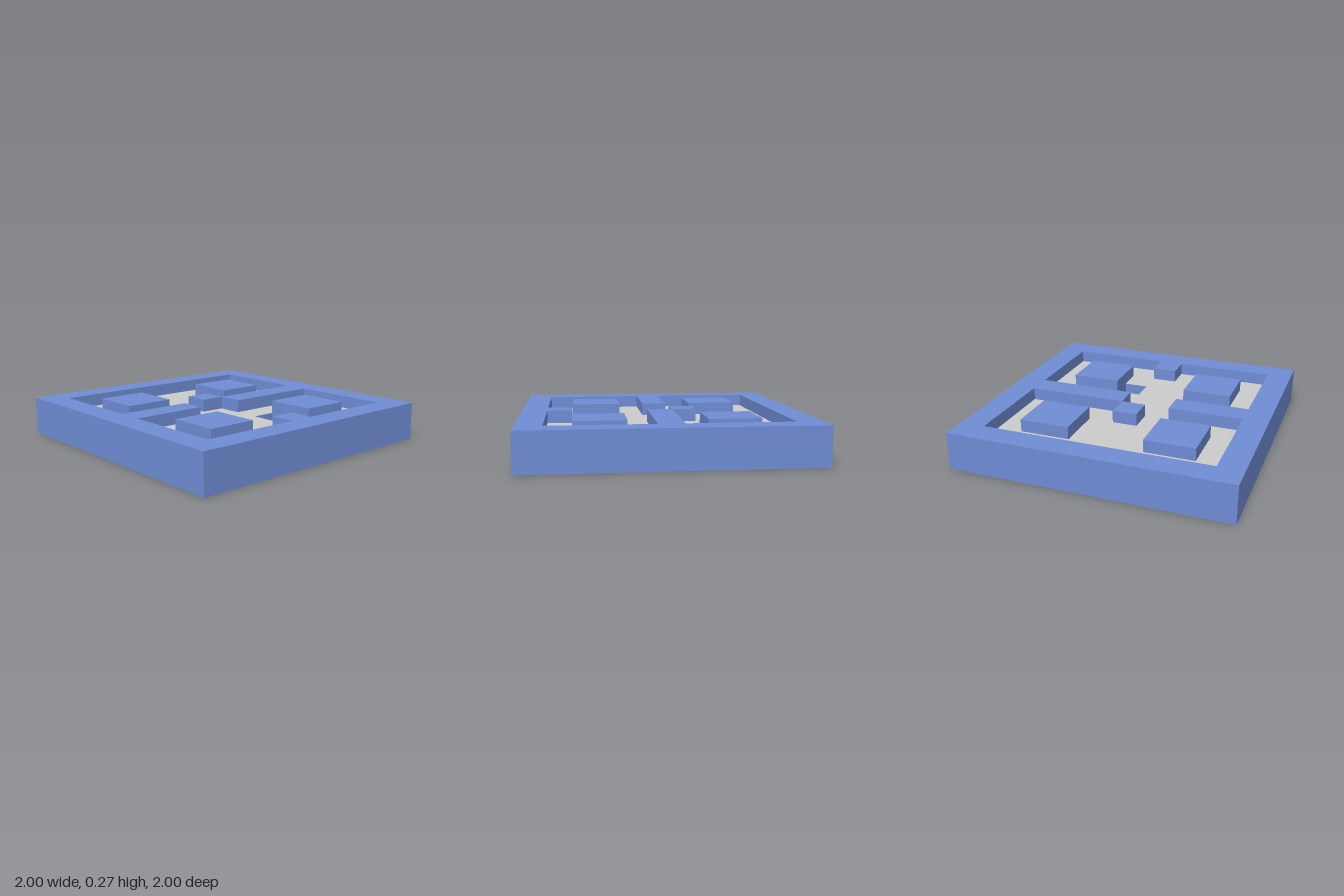
import * as THREE from 'three';

const CELL = 2 / 11;           // the board is an 11 x 11 grid
const BASE = CELL * 0.5;       // pit bottom
const FLOOR = CELL;            // floor level
const TOP = CELL * 1.5;        // wall tops
const SHEET = 0.002;           // thickness of the grey floor sheet

const toPoints = (list) => list.map(([x, z]) => new THREE.Vector2(x * CELL, z * CELL));
const rect = (x0, z0, x1, z1) => [[x0, z0], [x1, z0], [x1, z1], [x0, z1]];

export function createModel() {
  const group = new THREE.Group();
  const blue = new THREE.MeshStandardMaterial({ color: 0x6f8cd4 });
  const grey = new THREE.MeshStandardMaterial({ color: 0xb0b0b0 });
  grey.color.set(0xcccccc);

  // Upright slab with a plan outline (x, z in cells) between two heights
  function slab(name, outline, y0, y1, material, hole) {
    const shape = new THREE.Shape(toPoints(outline));
    if (hole) shape.holes.push(new THREE.Path(toPoints(hole)));
    const geometry = new THREE.ExtrudeGeometry(shape, { depth: y1 - y0, bevelEnabled: false });
    geometry.rotateX(Math.PI / 2);
    const mesh = new THREE.Mesh(geometry, material);
    mesh.name = name;
    mesh.position.y = y1;
    group.add(mesh);
  }

  const board = rect(-5.5, -5.5, 5.5, 5.5);
  const pit = rect(0.5, 1.5, 1.5, 2.5);
  // Open court: two halves joined by a gap, with a stub on the front wall
  const court = [
    [-4.5, -4.5], [4.5, -4.5], [4.5, -0.5], [0.5, -0.5], [0.5, 0.5], [4.5, 0.5],
    [4.5, 4.5], [0.5, 4.5], [0.5, 3.5], [-0.5, 3.5], [-0.5, 4.5], [-4.5, 4.5],
    [-4.5, 0.5], [-1.5, 0.5], [-1.5, -0.5], [-4.5, -0.5],
  ];
  const bed = FLOOR - SHEET;

  // Base, bed with the pit, floor sheet and surrounding walls
  slab('base', board, 0, BASE, blue);
  slab('bed', board, BASE, bed, blue, pit);
  slab('floor', court, bed, FLOOR, grey, pit);
  slab('walls', board, bed, TOP, blue, court);

  // Four square blocks, one in each quarter
  for (const sx of [-1, 1]) {
    for (const sz of [-1, 1]) {
      const x = sx * 2.5, z = sz * 2.5;
      slab('block', rect(x - 1, z - 1, x + 1, z + 1), bed, TOP, blue);
    }
  }

  // Small free-standing pillar
  slab('pillar', rect(-0.5, -1.5, 0.5, -0.5), bed, TOP, blue);

  return group;
}
